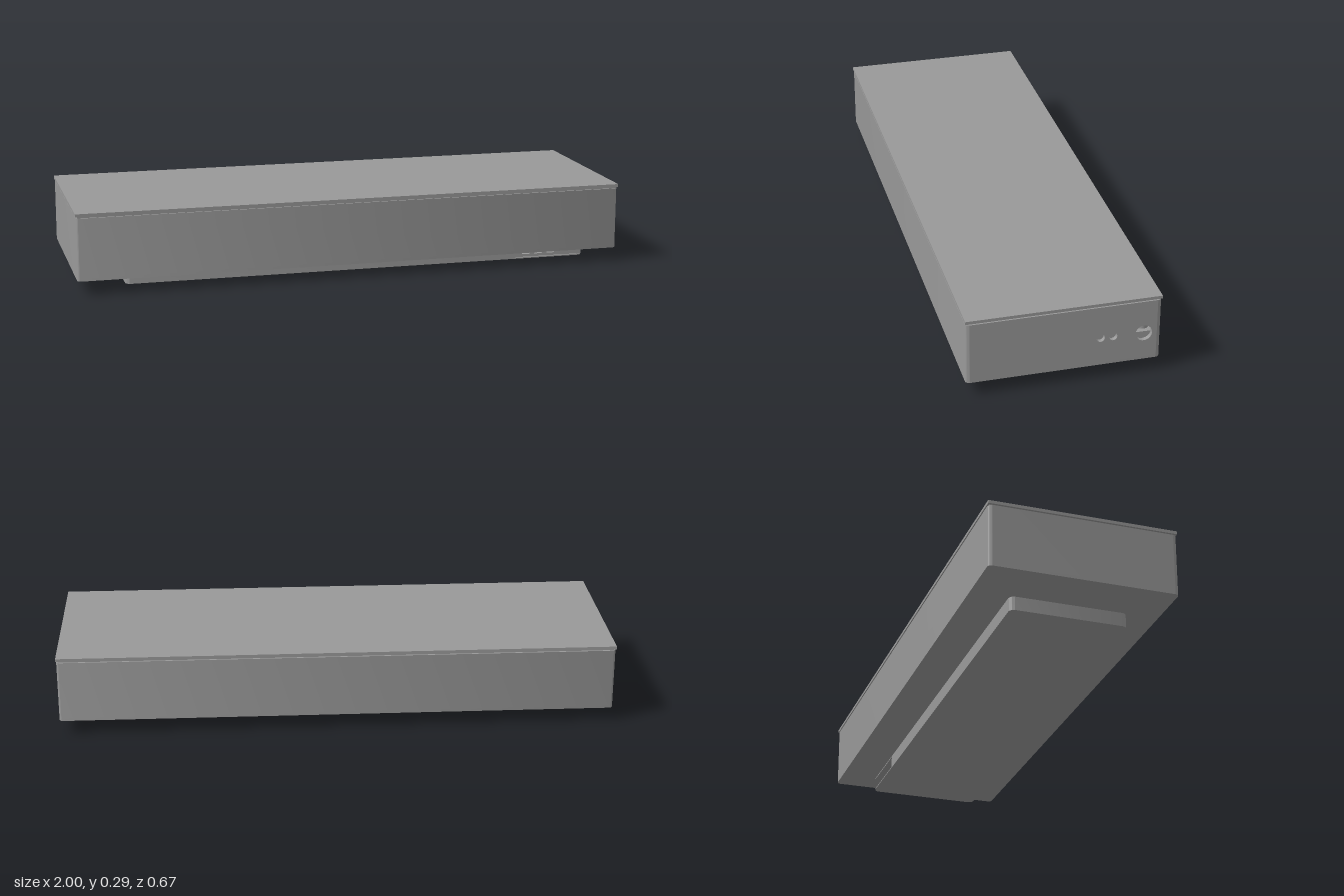
import * as THREE from 'three';
import { toCreasedNormals } from 'three/addons/utils/BufferGeometryUtils.js';

const grey = new THREE.MeshStandardMaterial({ color: 0x999999 });
grey.name = 'plain grey';

export function createModel() {
  const model = new THREE.Group();
  const add = (name, geometry) => {
    const mesh = new THREE.Mesh(geometry, grey);
    mesh.name = name;
    model.add(mesh);
    return mesh;
  };
  const box = (name, x0, x1, y0, y1, z0, z1) =>
    add(name, new THREE.BoxGeometry(x1 - x0, y1 - y0, z1 - z0))
      .position.set((x0 + x1) / 2, (y0 + y1) / 2, (z0 + z1) / 2);
  const polygon = (points, Type = THREE.Shape) =>
    new Type(points.map(([x, y]) => new THREE.Vector2(x, y)));
  const rectangle = (x0, x1, y0, y1, Type) =>
    polygon([[x0, y0], [x1, y0], [x1, y1], [x0, y1]], Type);
  const extrude = (shape, depth) => toCreasedNormals(
    new THREE.ExtrudeGeometry(shape, { depth, bevelEnabled: false, curveSegments: 16 }), 0.5);

  // Plan outlines use (x, -z) and rise from y0 to y1
  const slab = (name, shape, y0, y1) =>
    add(name, extrude(shape, y1 - y0).rotateX(-Math.PI / 2).translate(0, y0, 0));

  // Rounded plan; rightPath lists the outline of the +x end, from front to back
  const plan = (x0, x1, front, back, r, rightPath) => {
    const f = -front, b = -back, s = new THREE.Shape();
    s.moveTo(x0 + r, f);
    if (rightPath) rightPath.forEach(([x, z]) => s.lineTo(x, -z));
    else {
      s.lineTo(x1 - r, f);
      s.absarc(x1 - r, f + r, r, -Math.PI / 2, 0);
      s.lineTo(x1, b - r);
      s.absarc(x1 - r, b - r, r, 0, Math.PI / 2);
    }
    s.lineTo(x0 + r, b);
    s.absarc(x0 + r, b - r, r, Math.PI / 2, Math.PI);
    s.lineTo(x0, f + r);
    s.absarc(x0 + r, f + r, r, Math.PI, Math.PI * 1.5);
    return s;
  };

  // Case: closed floor, then walls with a pocket behind the socket panel
  const X = 0.998, Z = 0.334, R = 0.014, P = Z - R;
  slab('caseFloor', plan(-X, X, Z, -Z, R), 0.05, 0.06);
  const walls = new THREE.Shape();
  walls.moveTo(-X + R, -Z);
  walls.lineTo(X - R, -Z);
  walls.absarc(X - R, -P, R, -Math.PI / 2, 0);
  [[0.9, -P], [0.9, P], [X, P]].forEach(([x, y]) => walls.lineTo(x, y));
  walls.absarc(X - R, P, R, 0, Math.PI / 2);
  walls.lineTo(-X + R, Z);
  walls.absarc(-X + R, P, R, Math.PI / 2, Math.PI);
  walls.lineTo(-X, -P);
  walls.absarc(-X + R, -P, R, Math.PI, Math.PI * 1.5);
  slab('caseWalls', walls, 0.06, 0.274);

  // Socket panel on the +x end with three round holes
  const panel = rectangle(-P, P, 0.06, 0.274);
  [[-0.125, 0.155, 0.015], [-0.168, 0.155, 0.015], [-0.275, 0.152, 0.029]].forEach(([z, y, r]) => {
    const hole = new THREE.Path();
    hole.absarc(-z, y, r, 0, Math.PI * 2, true);
    panel.holes.push(hole);
  });
  add('socketPanel', extrude(panel, 0.015).rotateY(Math.PI / 2).translate(X - 0.015, 0, 0));
  box('socketShelf', 0.9, 0.982, 0.06, 0.148, -0.312, -0.235);
  add('socketPin', new THREE.CylinderGeometry(0.022, 0.022, 0.126, 32))
    .position.set(0.945, 0.211, -0.284);

  // Shadow gap and lid
  box('lidNeck', -0.992, 0.992, 0.274, 0.279, -0.328, 0.328);
  box('lid', -1, 1, 0.279, 0.29, -0.335, 0.335);

  // Base with a notch at both +x corners, between two thin plates
  const base = [-0.815, 0.91, 0.222, -0.198, 0.02];
  slab('baseBottom', plan(...base), 0, 0.004);
  slab('baseTop', plan(...base), 0.046, 0.05);
  slab('baseCore', plan(...base, [
    [0.645, 0.222], [0.645, 0.175], [0.91, 0.175],
    [0.91, -0.15], [0.645, -0.15], [0.645, -0.198],
  ]), 0.004, 0.046);

  // Port block with three rectangular openings in the front notch
  const block = rectangle(0.645, 0.908, 0.004, 0.046);
  for (const x of [0.69, 0.738, 0.787]) {
    block.holes.push(rectangle(x - 0.015, x + 0.015, 0.014, 0.036, THREE.Path));
  }
  add('portBlock', extrude(block, 0.04).translate(0, 0, 0.175));

  return model;
}
